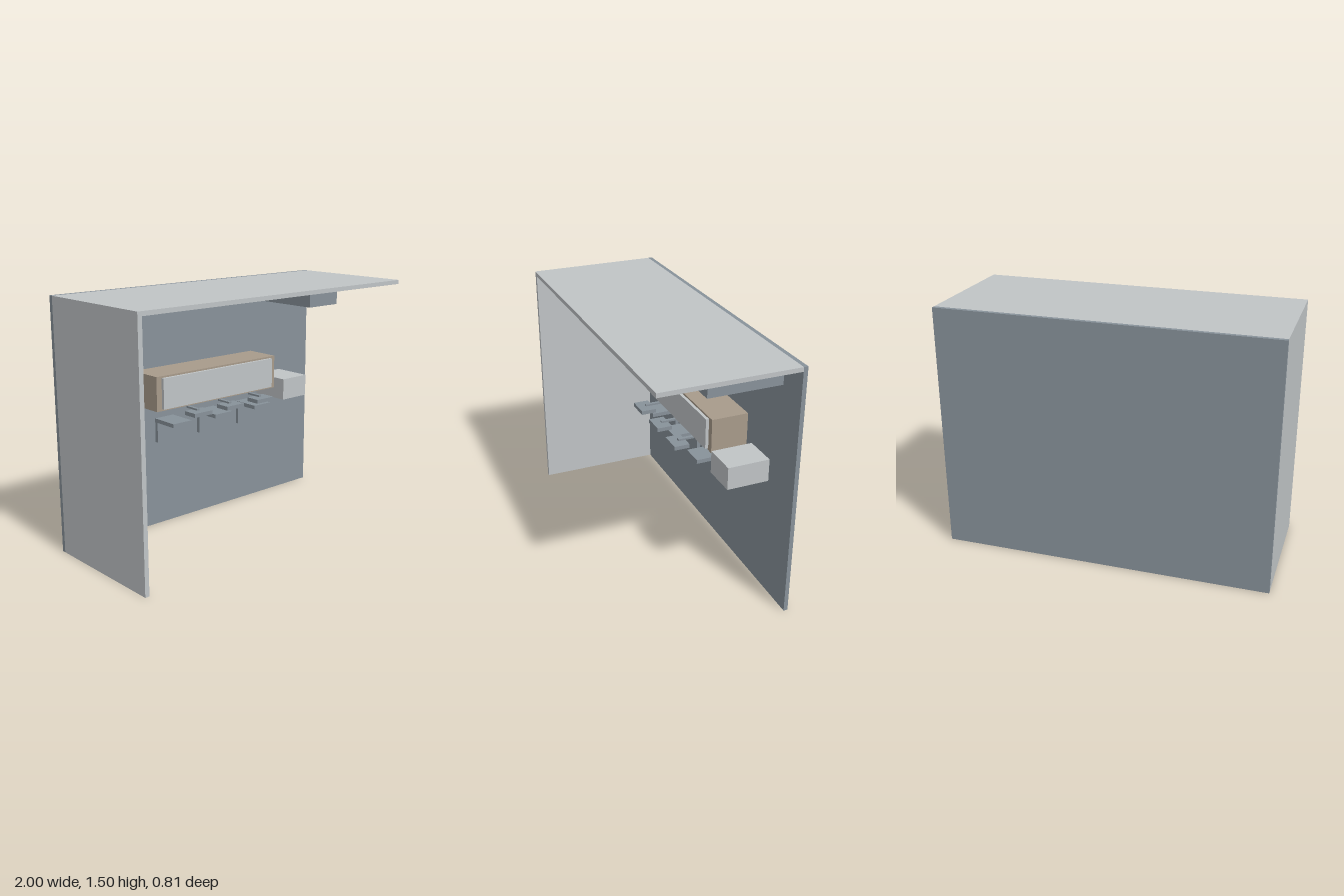
import * as THREE from 'three';

const mat = (name, color) => {
  const m = new THREE.MeshStandardMaterial({ color });
  m.name = name;
  return m;
};

export function createModel() {
  const light = mat('pale grey', 0xc0c4c6);
  const slate = mat('slate grey', 0x88929a);
  const wood = mat('taupe wood', 0xa89b8b);
  const model = new THREE.Group();
  model.name = 'roomSection';

  // Box given by its extents on each axis
  const box = (name, material, [x0, x1], [y0, y1], [z0, z1], parent = model) => {
    const mesh = new THREE.Mesh(new THREE.BoxGeometry(x1 - x0, y1 - y0, z1 - z0), material);
    mesh.position.set((x0 + x1) / 2, (y0 + y1) / 2, (z0 + z1) / 2);
    mesh.name = name;
    parent.add(mesh);
    return mesh;
  };

  // Room shell: back wall, one side wall and ceiling
  box('backWall', slate, [-1, 1], [0, 1.5], [-0.405, -0.38]);
  box('sideWall', light, [-1, -0.973], [0, 1.475], [-0.38, 0.405]);
  box('ceiling', light, [-1, 1], [1.475, 1.5], [-0.38, 0.405]);

  // Ceiling fittings
  for (const x of [-0.703, 0.697]) {
    box('ceilingUnit', slate, [x - 0.125, x + 0.125], [1.33, 1.452], [-0.38, 0.055]);
  }
  box('ceilingPanel', light, [-0.625, -0.133], [1.453, 1.463], [-0.08, 0.17]);

  // Counter with front panel
  box('counter', wood, [-0.477, 0.472], [0.798, 1.007], [-0.38, -0.155]);
  box('counterPanel', light, [-0.44, 0.433], [0.81, 0.996], [-0.155, -0.136]);

  // Cabinet beside the counter
  box('cabinet', light, [0.53, 0.737], [0.71, 0.846], [-0.38, -0.127]);

  // Chairs: flat seat with an upright slab at the rear
  for (const x of [-0.328, -0.003, 0.323]) {
    const chair = new THREE.Group();
    chair.name = 'chair';
    model.add(chair);
    box('chairSeat', slate, [x - 0.068, x + 0.068], [0.696, 0.72], [-0.285, -0.106], chair);
    box('chairBack', slate, [x - 0.068, x + 0.068], [0.572, 0.696], [-0.285, -0.262], chair);
  }

  // Small trays on thin arms
  for (const x of [-0.253, -0.003, 0.247]) {
    const tray = new THREE.Group();
    tray.name = 'tray';
    model.add(tray);
    box('trayTop', slate, [x - 0.067, x + 0.067], [0.766, 0.79], [-0.094, 0], tray);
    box('trayArm', slate, [x - 0.01, x + 0.01], [0.79, 0.801], [-0.15, -0.05], tray);
  }

  return model;
}
